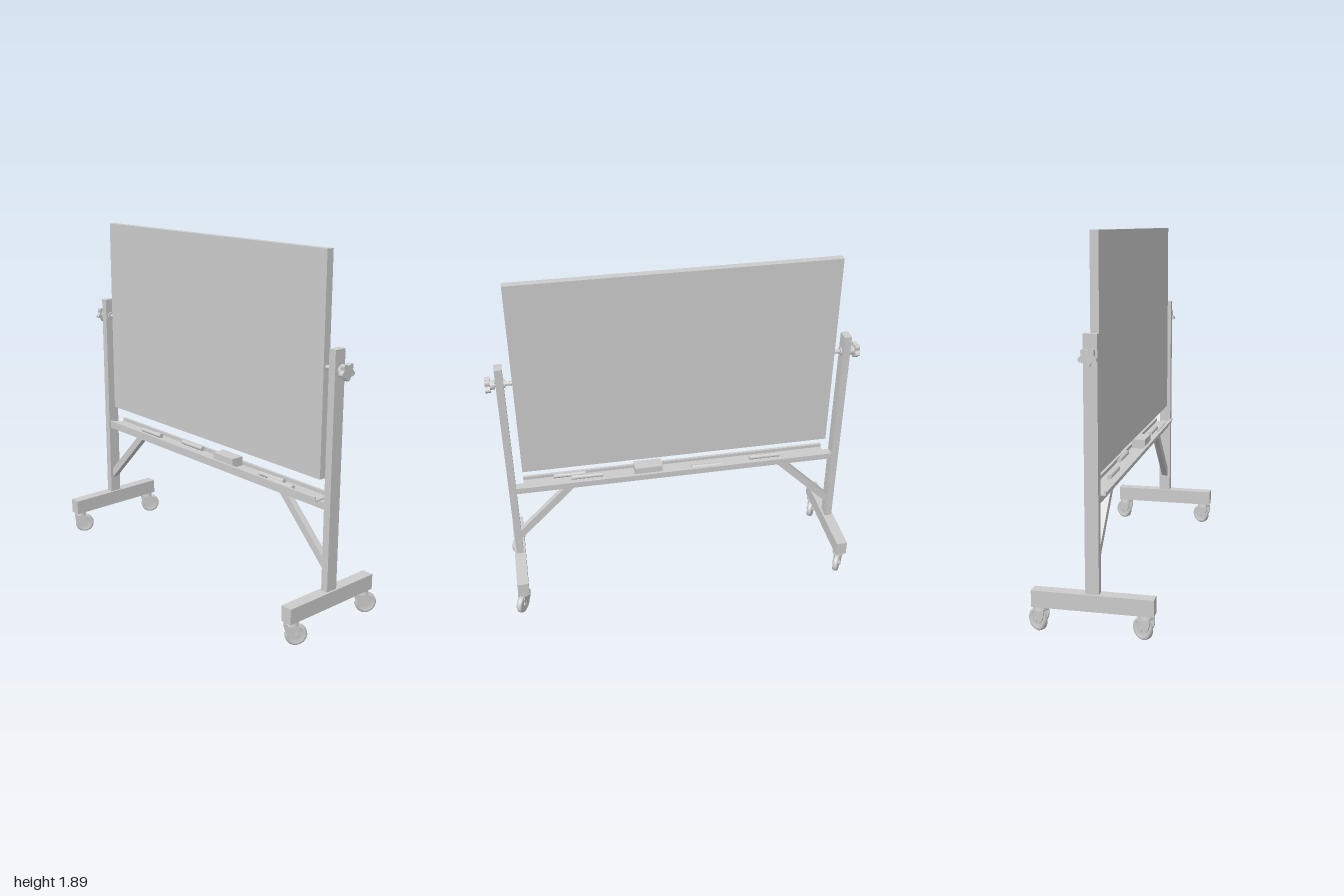
import * as THREE from 'three';

const material = new THREE.MeshStandardMaterial({ color: 0xcccccc });

function add(parent, name, geometry, x = 0, y = 0, z = 0) {
  const mesh = new THREE.Mesh(geometry, material);
  mesh.name = name;
  mesh.position.set(x, y, z);
  parent.add(mesh);
  return mesh;
}

const box = (w, h, d) => new THREE.BoxGeometry(w, h, d);

// Cylinder lying along z
const rod = (r, length, sides = 20) => new THREE.CylinderGeometry(r, r, length, sides).rotateX(Math.PI / 2);

// Outline extruded along z and centred on z = 0
function slab(points, depth) {
  const shape = new THREE.Shape(points.map(([x, y]) => new THREE.Vector2(x, y)));
  return new THREE.ExtrudeGeometry(shape, { depth, bevelEnabled: false }).translate(0, 0, -depth / 2);
}

// Five-lobed hand knob, facing +z
function knobGeometry() {
  const points = [];
  for (let i = 0; i < 50; i++) {
    const a = (i / 50) * Math.PI * 2;
    const r = 0.038 + 0.007 * Math.cos(5 * (a + Math.PI / 2));
    points.push([r * Math.cos(a), r * Math.sin(a)]);
  }
  return slab(points, 0.026);
}

// Swivel caster: origin at the floor below its pivot, wheel trailing toward +x
function createCaster() {
  const caster = new THREE.Group();
  caster.name = 'caster';
  const trail = 0.022, radius = 0.056;
  add(caster, 'swivelPlate', new THREE.CylinderGeometry(0.03, 0.034, 0.02, 24), 0, 0.122, 0);

  // Rounded tyre with a recessed hub
  const profile = [[0.012, -0.011], [0.036, -0.011], [0.039, -0.015], [0.05, -0.015], [0.055, -0.009],
    [radius, 0], [0.055, 0.009], [0.05, 0.015], [0.039, 0.015], [0.036, 0.011], [0.012, 0.011]];
  const tyre = new THREE.LatheGeometry(profile.map(([x, y]) => new THREE.Vector2(x, y)), 32);
  add(caster, 'wheel', tyre.rotateX(Math.PI / 2), trail, radius, 0);
  add(caster, 'axle', rod(0.013, 0.048), trail, radius, 0);

  // Fork cheeks narrowing to the axle
  const cheek = new THREE.Shape();
  cheek.moveTo(-0.034, 0.118);
  cheek.bezierCurveTo(-0.042, 0.08, -0.02, 0.04, trail, 0.038);
  cheek.absarc(trail, radius, 0.018, -Math.PI / 2, Math.PI * 0.2, false);
  cheek.quadraticCurveTo(0.032, 0.09, 0.034, 0.118);
  const cheekGeometry = new THREE.ExtrudeGeometry(cheek, { depth: 0.005, bevelEnabled: false, curveSegments: 10 });
  for (const z of [-0.021, 0.016]) add(caster, 'forkCheek', cheekGeometry, 0, 0, z);
  add(caster, 'forkCrown', box(0.066, 0.008, 0.042), 0, 0.116, 0);
  return caster;
}

// One end stand, built for the +z end
function createStand(side) {
  const stand = new THREE.Group();
  stand.name = side > 0 ? 'frontStand' : 'backStand';
  const z = 0.925 * side;
  add(stand, 'foot', box(0.595, 0.083, 0.062), 0, 0.172, z);
  add(stand, 'post', box(0.067, 1.227, 0.04), 0, 0.8265, z);

  // Pivot rod with collar and knob
  add(stand, 'pivotRod', rod(0.011, 0.12), 0, 1.34, 0.915 * side);
  add(stand, 'pivotCollar', rod(0.022, 0.008), 0, 1.34, 0.9 * side);
  add(stand, 'knobHub', rod(0.024, 0.03), 0, 1.34, 0.965 * side);
  add(stand, 'knob', knobGeometry(), 0, 1.34, 0.986 * side);

  // Diagonal brace from post to rail
  const outline = [[0.906, 0.307], [0.906, 0.365], [0.638, 0.636], [0.582, 0.636]];
  const brace = slab(outline.map(([a, b]) => [-a * side, b]), 0.035).rotateY(Math.PI / 2);
  add(stand, 'brace', brace);

  for (const x of [-0.257, 0.257]) {
    const caster = createCaster();
    caster.position.set(x, 0, z);
    caster.rotation.y = -Math.PI / 6;
    stand.add(caster);
  }
  return stand;
}

export function createModel() {
  const model = new THREE.Group();
  model.name = 'rollingBoard';
  const body = new THREE.Group();
  body.name = 'body';
  body.position.x = -0.0175;
  model.add(body);

  add(body, 'board', box(0.041, 1.115, 1.722), 0, 1.3375, 0);
  add(body, 'rail', box(0.046, 0.036, 1.81), 0, 0.653, 0);
  for (const side of [1, -1]) body.add(createStand(side));

  // Tray: a shallow channel with flanged rims
  const half = [[0.043, 0.678], [0.043, 0.697], [0.058, 0.697], [0.058, 0.691], [0.048, 0.691], [0.048, 0.671]];
  const mirrored = half.map(([x, y]) => [-x, y]).reverse();
  add(body, 'tray', slab([...half, ...mirrored].reverse(), 1.722));

  // Eraser and markers lying in the tray
  add(body, 'eraser', box(0.074, 0.05, 0.155), 0, 0.703, 0.165);
  const markers = [[-0.031, 0.603], [0, 0.508], [0.03, -0.168], [0, -0.51]];
  for (const [x, z] of markers) {
    add(body, 'marker', rod(0.012, 0.14, 16), x, 0.69, z - 0.018);
    add(body, 'markerCap', rod(0.0135, 0.045, 16), x, 0.6915, z + 0.066);
  }
  return model;
}
